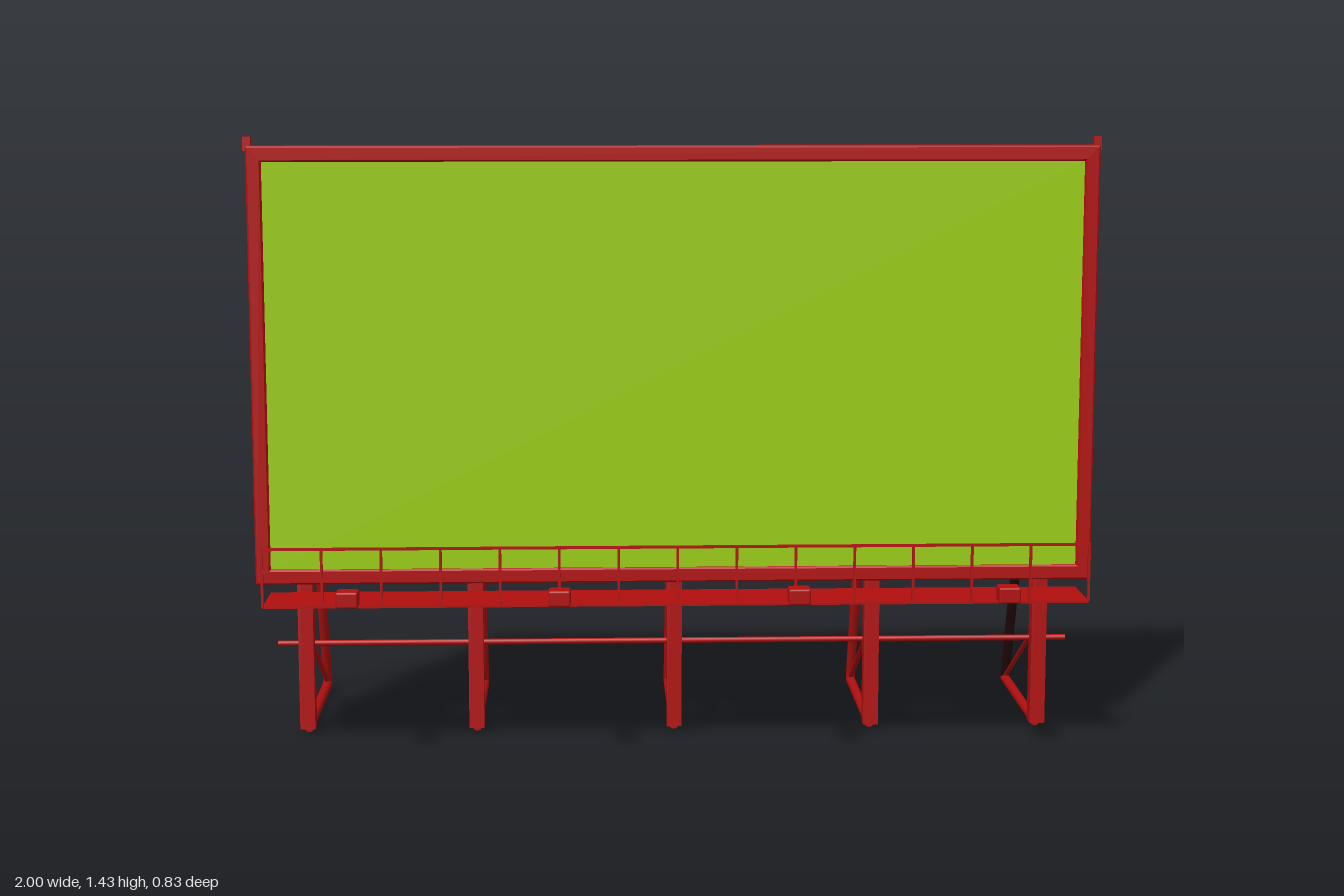
import * as THREE from 'three';
import { RoundedBoxGeometry } from 'three/addons/geometries/RoundedBoxGeometry.js';

const red = new THREE.MeshStandardMaterial({ color: 0xb20f0f });
red.name = 'red paint';
const green = new THREE.MeshStandardMaterial({ color: 0x9ace10 });
green.name = 'green poster';
const dark = new THREE.MeshStandardMaterial({ color: 0x220808 });
dark.name = 'dark steel';

export function createModel() {
  const model = new THREE.Group();
  model.name = 'billboard';

  function add(name, geometry, material = red) {
    const mesh = new THREE.Mesh(geometry, material);
    mesh.name = name;
    model.add(mesh);
    return mesh;
  }

  // Box given by its low and high corners
  function box(name, x0, x1, y0, y1, z0, z1, material) {
    const mesh = add(name, new THREE.BoxGeometry(x1 - x0, y1 - y0, z1 - z0), material);
    mesh.position.set((x0 + x1) / 2, (y0 + y1) / 2, (z0 + z1) / 2);
    return mesh;
  }

  // Round bar between two points
  function bar(name, a, b, radius, material) {
    const from = new THREE.Vector3(...a), to = new THREE.Vector3(...b);
    const dir = to.clone().sub(from);
    const mesh = add(name, new THREE.CylinderGeometry(radius, radius, dir.length(), 10), material);
    mesh.position.copy(from).add(to).multiplyScalar(0.5);
    mesh.quaternion.setFromUnitVectors(new THREE.Vector3(0, 1, 0), dir.normalize());
    return mesh;
  }

  // Board with a raised frame around the poster
  box('boardBack', -0.98, 0.98, 0.39, 1.4, 0.055, 0.118);
  const rect = (Type, w, y0, y1) => new Type([
    new THREE.Vector2(-w, y0), new THREE.Vector2(w, y0),
    new THREE.Vector2(w, y1), new THREE.Vector2(-w, y1),
  ]);
  const frameShape = rect(THREE.Shape, 0.981, 0.389, 1.404);
  frameShape.holes.push(rect(THREE.Path, 0.954, 0.416, 1.376));
  const frame = add('frame', new THREE.ExtrudeGeometry(frameShape, {
    depth: 0.067, bevelThickness: 0.004, bevelSize: 0.004, bevelSegments: 1,
  }));
  frame.position.z = 0.059;
  box('poster', -0.953, 0.953, 0.417, 1.375, 0.117, 0.122, green);

  // Small lugs on the top corners
  for (const s of [-1, 1]) {
    const lug = box('cornerLug', -0.009, 0.009, 1.395, 1.428, 0.058, 0.075);
    lug.position.x = s * 0.989;
  }

  // Five posts, each with a triangular back stay
  for (const x of [-0.88, -0.475, 0, 0.475, 0.88]) {
    box('post', x - 0.018, x + 0.018, 0.014, 1.368, 0.015, 0.053);
    bar('groundBeam', [x, 0.012, 0.025], [x, 0.012, -0.405], 0.012);
    bar('longBrace', [x, 1.07, 0.016], [x, 0.018, -0.405], 0.012, x > 0.8 ? dark : red);
    bar('shortBrace', [x, 0.25, 0.018], [x, 0.018, -0.4], 0.006);
  }

  // Horizontal rods tying the posts together
  for (const y of [0.218, 0.895]) bar('tieRod', [-0.95, y, 0.016], [0.95, y, 0.016], 0.007);

  // Walkway with railing
  box('walkway', -0.95, 0.95, 0.361, 0.367, 0.128, 0.282);
  box('handRail', -0.953, 0.953, 0.496, 0.502, 0.278, 0.284);
  for (let i = 0; i <= 14; i++) {
    const x = -0.95 + i * 1.9 / 14;
    box('railPost', x - 0.003, x + 0.003, 0.364, 0.5, 0.278, 0.284);
  }

  // Floodlights on short arms
  for (const x of [-0.745, -0.27, 0.27, 0.745]) {
    bar('lightArm', [x, 0.364, 0.278], [x, 0.405, 0.385], 0.004);
    const lamp = add('floodlight', new RoundedBoxGeometry(0.05, 0.037, 0.046, 2, 0.005));
    lamp.position.set(x, 0.408, 0.394);
  }

  return model;
}
